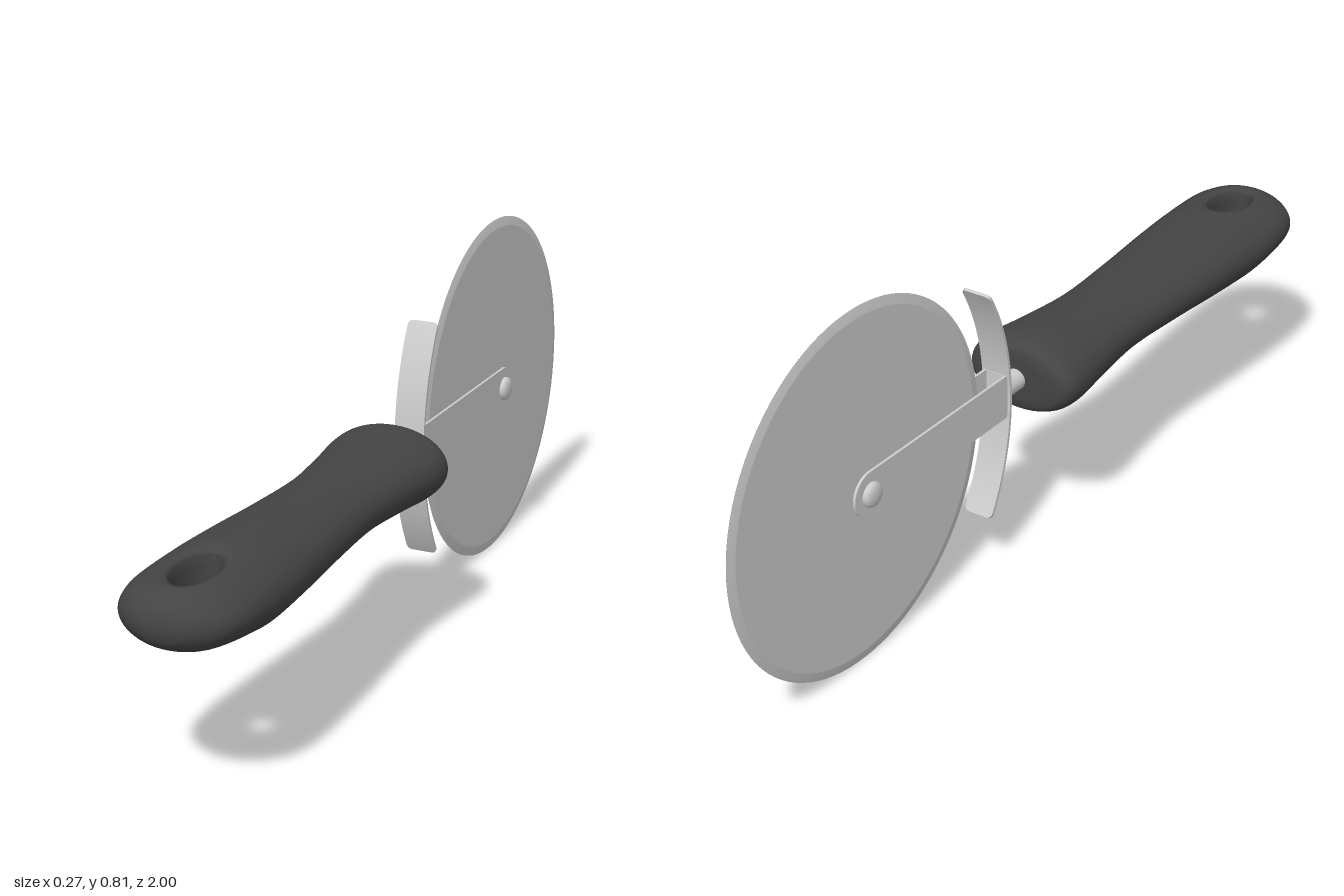
import * as THREE from 'three';
import { mergeVertices } from 'three/addons/utils/BufferGeometryUtils.js';

const Y = 0.405;            // height of the long axis
const HUB_Z = -0.595;       // blade centre
const metal = new THREE.MeshStandardMaterial({ color: 0xcccccc });
const rubber = new THREE.MeshStandardMaterial({ color: 0x444444 });

function add(parent, name, geometry, material = metal) {
  const mesh = new THREE.Mesh(geometry, material);
  mesh.name = name;
  parent.add(mesh);
  return mesh;
}

// Handle: oval cross-sections, each side built as a half loop around the hanging hole
function handleGeometry() {
  const hole = { z: 0.848, a: 0.043, b: 0.073 };
  const profile = [ // z, half width, half height
    [-0.05, 0, 0], [-0.05, 0.05, 0.03], [-0.049, 0.09, 0.055], [-0.042, 0.119, 0.073], [-0.022, 0.133, 0.083],
    [0.02, 0.136, 0.0855], [0.12, 0.124, 0.078], [0.27, 0.11, 0.0705], [0.45, 0.118, 0.074],
    [0.62, 0.13, 0.082], [0.75, 0.136, 0.0855], [0.82, 0.137, 0.08], [0.9, 0.13, 0.071],
    [0.95, 0.11, 0.061], [0.985, 0.066, 0.04], [0.997, 0.03, 0.018], [1, 0, 0],
  ];
  const curve = new THREE.CatmullRomCurve3(profile.map((p) => new THREE.Vector3(...p)), false, 'centripetal');
  const samples = curve.getPoints(160);
  const at = (z) => {
    const k = samples.findIndex((p) => p.z !== undefined && p.x >= z);
    const p = samples[k - 1], q = samples[k];
    return p.clone().lerp(q, (z - p.x) / (q.x - p.x));
  };
  const z0 = hole.z - hole.b, z1 = hole.z + hole.b;
  const holeRows = [];
  for (let i = 0; i <= 28; i++) holeRows.push(at(hole.z - hole.b * Math.cos((i / 28) * Math.PI)));
  const before = samples.filter((p) => p.x < z0 - 0.001);
  const rows = [...before, ...holeRows, ...samples.filter((p) => p.x > z1 + 0.001)];
  const first = before.length, last = first + 28;

  const COLS = 20, WALL = 6, N = 2 * COLS + WALL;
  const pos = [], index = [];
  for (const side of [1, -1]) {
    const base = pos.length / 3;
    rows.forEach((row, i) => {
      const z = row.x, W = Math.max(row.y, 0), H = Math.max(row.z, 0);
      const inHole = i > first && i < last;
      const xi = inHole ? hole.a * Math.sqrt(Math.max(0, 1 - ((z - hole.z) / hole.b) ** 2)) : 0;
      const centre = Y + 0.007 * THREE.MathUtils.smoothstep(z, 0.74, 0.9);
      const height = (x) => {
        if (W < 1e-5) return 0;
        const d = (Math.hypot(x / hole.a, (z - hole.z) / hole.b) - 1) * hole.a;
        const lip = 0.012 * Math.max(0, 1 - Math.max(d, 0) / 0.022) ** 2;
        return H * Math.sqrt(Math.max(0, 1 - (x / W) ** 2)) - lip;
      };
      for (let j = 0; j <= N; j++) {
        let x = xi, y;
        if (j <= 2 * COLS) {
          const t = (j / COLS) * (Math.PI / 2);
          x = j === COLS ? W : xi + (W - xi) * Math.sin(t);
          y = j === COLS ? 0 : height(x) * (j < COLS ? 1 : -1);
        } else {
          y = height(xi) * (-1 + (2 * (j - 2 * COLS)) / WALL);
        }
        pos.push(side * x, centre + y, z);
      }
    });
    for (let i = 0; i < rows.length - 1; i++) {
      const cols = i >= first && i < last ? N : 2 * COLS;
      for (let j = 0; j < cols; j++) {
        const a = base + i * (N + 1) + j, b = a + 1, c = a + N + 1, d = c + 1;
        if (side > 0) index.push(a, c, b, b, c, d);
        else index.push(a, b, c, b, d, c);
      }
    }
  }
  const g = new THREE.BufferGeometry();
  g.setAttribute('position', new THREE.Float32BufferAttribute(pos, 3));
  g.setIndex(index);
  const merged = mergeVertices(g, 1e-5);
  merged.computeVertexNormals();
  return merged;
}

// Curved finger guard: a thin strip bent around the blade, with rounded corners
function guardGeometry() {
  const R = 0.523, half = 0.542, corner = 0.012;
  const g = new THREE.BoxGeometry(2, 2, 0.007, 1, 48, 1);
  const p = g.attributes.position;
  for (let i = 0; i < p.count; i++) {
    const s = Math.sin((p.getY(i) * Math.PI) / 2);
    const end = Math.max(0, corner - (1 - Math.abs(s)) * half * R);
    const w = 0.035 - (corner - Math.sqrt(corner ** 2 - end ** 2));
    const r = R + p.getZ(i) - 0.0035;
    p.setXYZ(i, p.getX(i) * w, Y + r * Math.sin(s * half), -0.115 - R + r * Math.cos(s * half));
  }
  g.computeVertexNormals();
  return g;
}

// Fork arm: flat bar with a rounded end at the hub, lying in the z-y plane
function armGeometry() {
  const r = 0.05, t = 0.006;
  const s = new THREE.Shape();
  s.moveTo(-0.12 - HUB_Z, -r);
  s.lineTo(-0.12 - HUB_Z, r);
  s.lineTo(0, r);
  s.absarc(0, 0, r, Math.PI / 2, Math.PI * 1.5, false);
  const g = new THREE.ExtrudeGeometry(s, { depth: t, bevelEnabled: false, curveSegments: 24 });
  return g.translate(0, 0, -t / 2).rotateY(-Math.PI / 2);
}

// Solid of revolution around the x axis from [radius, x] pairs; doubled points keep edges sharp
function turned(points, segments) {
  const g = new THREE.LatheGeometry(points.map((p) => new THREE.Vector2(...p)), segments);
  return g.rotateZ(-Math.PI / 2);
}

export function createModel() {
  const model = new THREE.Group();
  model.name = 'rotaryCutter';

  add(model, 'handle', handleGeometry(), rubber);

  const shaft = add(model, 'shaft', new THREE.CylinderGeometry(0.024, 0.024, 0.09, 32).rotateX(Math.PI / 2));
  shaft.position.set(0, Y, -0.075);

  add(model, 'guard', guardGeometry());

  // Fork that carries the blade
  const fork = new THREE.Group();
  fork.name = 'fork';
  fork.position.set(0, Y, HUB_Z);
  model.add(fork);
  const base = add(fork, 'forkBase', new THREE.BoxGeometry(0.058, 0.1, 0.006));
  base.position.z = -0.123 - HUB_Z;
  for (const side of [1, -1]) {
    add(fork, 'forkArm', armGeometry()).position.x = side * 0.026;
    // Domed rivet head outside the arm
    const head = add(fork, 'rivetHead', turned(
      [[0.027, 0], [0.027, 0.007], [0.024, 0.012], [0.017, 0.015], [0.009, 0.0165], [0, 0.017]], 32));
    head.position.x = side * 0.028;
    if (side < 0) head.rotation.y = Math.PI;
    // Spacer between arm and blade
    const spacer = add(fork, 'spacer', new THREE.CylinderGeometry(0.02, 0.02, 0.019, 32).rotateZ(Math.PI / 2));
    spacer.position.x = side * 0.0145;
  }

  // Round blade with a bevelled cutting edge
  const rim = [0.382, 0.005], edge = [0.403, 0.0006];
  const blade = add(model, 'blade', turned([
    [0, -0.005], [rim[0], -rim[1]], [rim[0], -rim[1]], [edge[0], -edge[1]],
    edge, rim, rim, [0, 0.005]], 96));
  blade.position.set(0, Y, HUB_Z);

  return model;
}
